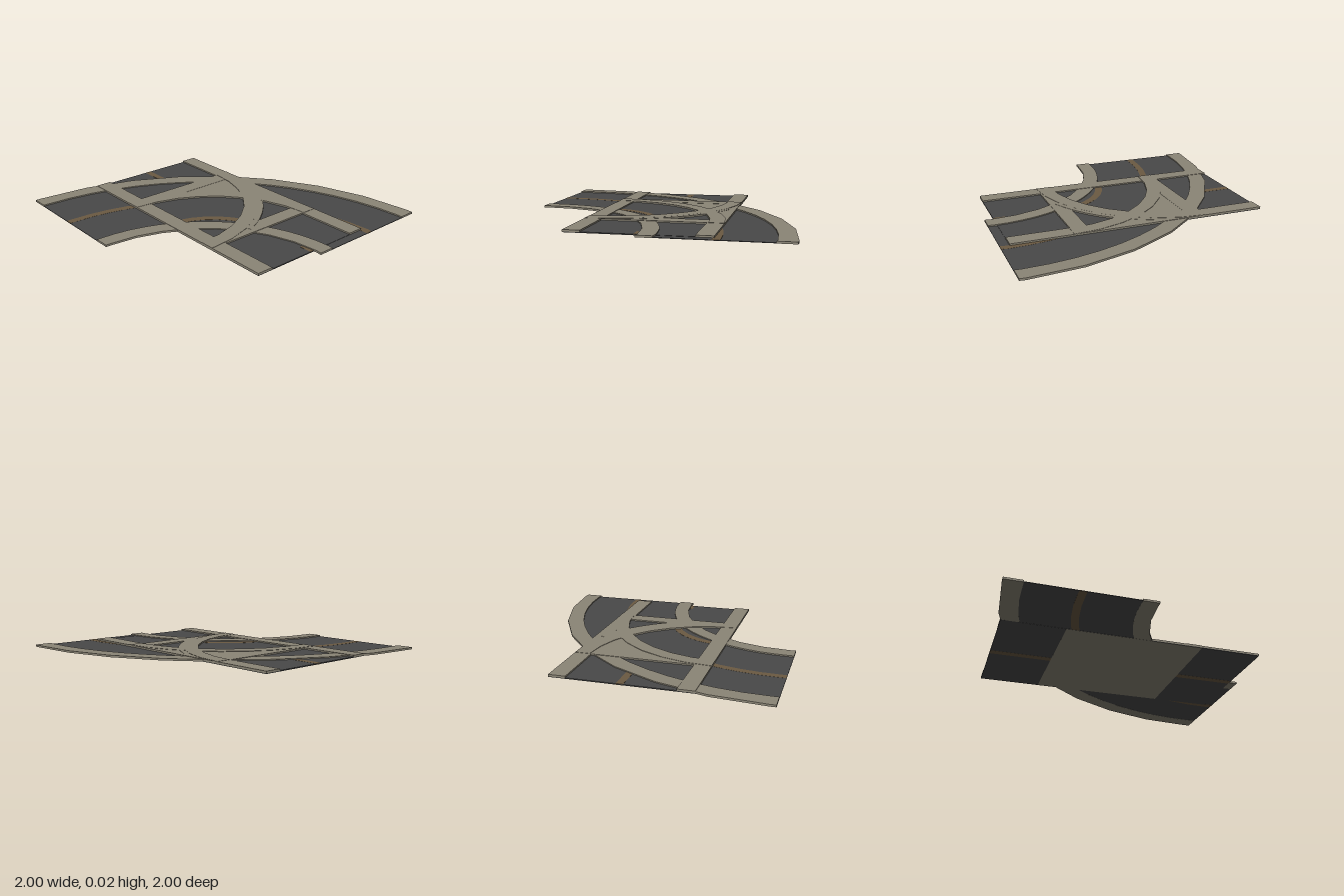
import * as THREE from 'three';

export function createModel() {
  const model = new THREE.Group();
  const mat = (name, color) => {
    const m = new THREE.MeshStandardMaterial({ color });
    m.name = name;
    return m;
  };
  const paving = mat('paving', 0x8b8576);
  const asphalt = mat('asphalt', 0x494949);
  const laneBrown = mat('laneBrown', 0x6b5a42);

  // Flat slab from x0..x1, z0..z1, y0..y1
  function slab(name, m, x0, x1, z0, z1, y0, y1) {
    const mesh = new THREE.Mesh(new THREE.BoxGeometry(x1 - x0, y1 - y0, z1 - z0), m);
    mesh.position.set((x0 + x1) / 2, (y0 + y1) / 2, (z0 + z1) / 2);
    mesh.name = name;
    model.add(mesh);
  }

  // Plan outline in (x, z), extruded upwards from y0 to y1
  function plate(name, m, points, y0, y1) {
    const shape = new THREE.Shape(points.map(([x, z]) => new THREE.Vector2(x, -z)));
    const geo = new THREE.ExtrudeGeometry(shape, { depth: y1 - y0, bevelEnabled: false });
    geo.rotateX(-Math.PI / 2).translate(0, y0, 0);
    const mesh = new THREE.Mesh(geo, m);
    mesh.name = name;
    model.add(mesh);
  }

  // Quarter arc in straight steps; side = -1 sweeps to -z, 1 to +z
  function arc(cx, cz, r, side, steps) {
    return Array.from({ length: steps + 1 }, (_, i) => {
      const a = (i / steps) * Math.PI / 2;
      return [cx + r * Math.cos(a), cz + side * r * Math.sin(a)];
    });
  }
  function band(name, m, cx, cz, r0, r1, side, y0, y1) {
    plate(name, m, [...arc(cx, cz, r1, side, 8), ...arc(cx, cz, r0, side, 8).reverse()], y0, y1);
  }

  // Large curve, with short straight ends reaching z = 1 and x = -1
  const bend = (r, steps) => [[r - 0.965, 1], ...arc(-0.96, 0.96, r, -1, steps), [-1, 0.96 - r]];
  function bendBand(name, m, r0, steps0, r1, steps1, y0, y1) {
    plate(name, m, [...bend(r1, steps1), ...bend(r0, steps0).reverse()], y0, y1);
  }
  bendBand('curveRoad', asphalt, 1.07, 16, 1.86, 16, 0.0015, 0.0055);
  bendBand('curveLane', laneBrown, 1.442, 16, 1.495, 16, 0.0008, 0.0062);
  bendBand('curveOuterSidewalk', paving, 1.835, 16, 1.962, 8, 0.0006, 0.015);
  bendBand('curveInnerSidewalk', paving, 0.97, 8, 1.083, 16, 0.0006, 0.015);

  // Straight road running front to back, dark across its whole underside
  slab('straightRoad', asphalt, -0.495, 0.49, -0.94, 0.935, 0.0002, 0.005);
  slab('straightRoadTop', asphalt, -0.38, 0.38, -0.94, 0.935, 0.004, 0.0075);
  for (const [x0, x1] of [[-0.495, -0.375], [0.37, 0.49]]) {
    slab('straightSidewalk', paving, x0, x1, -0.94, 0.935, 0.004, 0.018);
  }
  slab('straightLaneBack', laneBrown, -0.025, 0.025, -0.94, -0.7, 0.006, 0.0083);
  slab('straightLaneFront', laneBrown, -0.025, 0.025, 0.84, 0.935, 0.006, 0.0083);
  for (const [z0, z1] of [[-0.94, -0.495], [0.49, 0.935]]) {
    slab('straightLaneUnderside', laneBrown, -0.025, 0.025, z0, z1, -0.0003, 0.004);
  }

  // Crossing square in the middle
  slab('crossingBase', paving, -0.495, 0.49, -0.495, 0.49, 0, 0.0065);
  slab('crossingRoad', asphalt, -0.38, 0.38, -0.38, 0.38, 0.006, 0.0085);
  slab('crossingBackKerb', paving, -0.495, 0.49, -0.495, -0.375, 0.005, 0.018);
  slab('crossingFrontKerb', paving, -0.495, 0.49, 0.37, 0.49, 0.005, 0.018);

  // Two small curves crossing each other inside the square
  band('smallCurveSidewalk', paving, -0.495, 0.495, 0.875, 0.985, -1, 0.004, 0.02);
  band('smallCurveSidewalk', paving, -0.495, -0.495, 0.875, 0.985, 1, 0.004, 0.02);
  plate('smallCurveRim', paving,
    [...arc(-0.495, -0.495, 1.02, 1, 16).slice(4, 13),
      ...arc(-0.495, -0.495, 0.96, 1, 16).slice(4, 13).reverse()], 0.004, 0.0195);
  band('smallCurveLane', laneBrown, -0.495, 0.495, 0.47, 0.525, -1, 0.006, 0.0093);

  // Paved corner outside the small curve
  plate('pavedCorner', paving, [[0.49, -0.495], ...arc(-0.495, 0.49, 0.98, -1, 8)], 0.004, 0.0165);

  return model;
}
